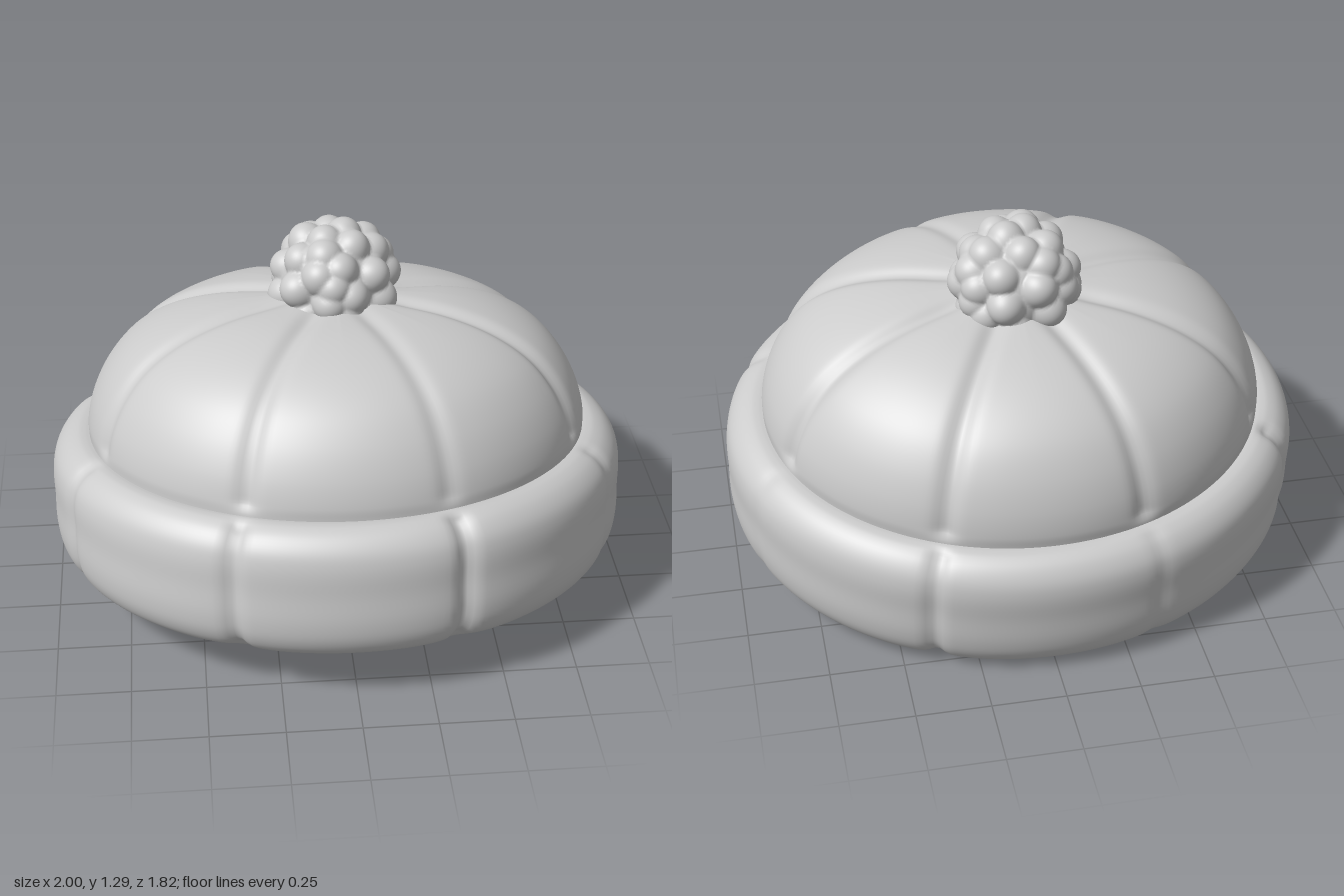
import * as THREE from 'three';
import { mergeVertices } from 'three/addons/utils/BufferGeometryUtils.js';

const SEAMS = 8;
const TILT = -0.112;
const TWIST = -0.03;
const DEPTH = 0.907; // front-to-back squash of the round profile

// Groove strengths, counted from the front left seam round by the left side
const CROWN_SEAMS = [0.6, 0.9, 1, 1, 0.9, 1, 0.7, 0.9];
const BRIM_SEAMS = [1, 0.4, 0.15, 0.7, 0.25, 0.8, 0.5, 0.8];

const material = new THREE.MeshStandardMaterial({ color: 0xcccccc, side: THREE.DoubleSide });
const ramp = THREE.MathUtils.smoothstep;

// Weld duplicate vertices and give smooth normals
function smooth(geometry) {
  geometry.deleteAttribute('uv');
  geometry.deleteAttribute('normal');
  const g = mergeVertices(geometry, 1e-5);
  g.computeVertexNormals();
  return g;
}

// Revolved profile with a soft groove pressed in along each of the eight seams
function panelled(name, profile, { depth, width, strengths, fade }) {
  const curve = new THREE.CatmullRomCurve3(
    profile.map(([r, y]) => new THREE.Vector3(r, y, 0)), false, 'centripetal');
  const points = curve.getPoints(48).map(p => new THREE.Vector2(Math.max(p.x, 0), p.y));
  const g = new THREE.LatheGeometry(points, 320);
  const pos = g.attributes.position, nor = g.attributes.normal;
  const p = new THREE.Vector3(), n = new THREE.Vector3();
  const step = Math.PI * 2 / SEAMS;
  for (let i = 0; i < pos.count; i++) {
    p.fromBufferAttribute(pos, i);
    n.fromBufferAttribute(nor, i);
    const r = Math.hypot(p.x, p.z);
    const a = Math.atan2(p.x, p.z) - step / 2 - TWIST;
    const k = Math.round(a / step);
    const d = (a - k * step) * r;
    const groove = Math.exp(-((d / width) ** 2)) + 0.25 * Math.exp(-((d / (width * 3)) ** 2));
    p.addScaledVector(n, -depth * groove * strengths[(k + SEAMS) % SEAMS] * fade(r, p.y));
    pos.setXYZ(i, p.x, p.y, p.z * DEPTH);
  }
  const mesh = new THREE.Mesh(smooth(g), material);
  mesh.name = name;
  return mesh;
}

// Ball covered in evenly spread rounded tufts
function createPompom() {
  const tufts = [];
  const count = 50;
  for (let i = 0; i < count; i++) {
    const y = 1 - 2 * (i + 0.5) / count;
    const a = i * 2.39996 + 0.25 * Math.sin(i * 5.3);
    const s = Math.sqrt(1 - y * y);
    tufts.push(new THREE.Vector3(s * Math.cos(a), y, s * Math.sin(a)));
  }
  const g = new THREE.IcosahedronGeometry(1, 28);
  const pos = g.attributes.position;
  const v = new THREE.Vector3();
  for (let i = 0; i < pos.count; i++) {
    v.fromBufferAttribute(pos, i).normalize();
    let bump = 0;
    tufts.forEach((t, k) => {
      bump = Math.max(bump, 1 - (v.angleTo(t) / 0.37) ** 2 - 0.08 * (1 + Math.sin(k * 7.1)));
    });
    v.multiplyScalar(0.188 + 0.048 * bump);
    pos.setXYZ(i, v.x, v.y, v.z);
  }
  const mesh = new THREE.Mesh(smooth(g), material);
  mesh.name = 'pompom';
  mesh.position.set(0, 0.985, -0.02);
  return mesh;
}

export function createModel() {
  const hat = new THREE.Group();
  hat.name = 'knitHat';

  // Domed crown, its seams fading out under the pompom and into the brim
  hat.add(panelled('crown', [
    [0.868, 0.478], [0.868, 0.52], [0.847, 0.605], [0.796, 0.705], [0.715, 0.797],
    [0.592, 0.872], [0.42, 0.926], [0.2, 0.952], [0, 0.957],
  ], {
    depth: 0.02, width: 0.035, strengths: CROWN_SEAMS,
    fade: (r, y) => ramp(r, 0.02, 0.3) * ramp(y, 0.478, 0.53),
  }));

  // Puffy hollow brim, open underneath and joined to the crown at its shoulder
  hat.add(panelled('brim', [
    [0.78, 0], [0.88, 0.004], [0.95, 0.038], [0.985, 0.09], [1, 0.16], [1, 0.26],
    [1, 0.355], [0.985, 0.412], [0.95, 0.455], [0.91, 0.476], [0.885, 0.479], [0.868, 0.478],
  ], {
    depth: 0.026, width: 0.03, strengths: BRIM_SEAMS,
    fade: r => ramp(r, 0.868, 0.93),
  }));

  hat.add(createPompom());

  // Worn tipped back
  hat.rotation.x = TILT;
  hat.position.set(0, 0.083, 0.03);

  const model = new THREE.Group();
  model.name = 'hat';
  model.add(hat);
  return model;
}
